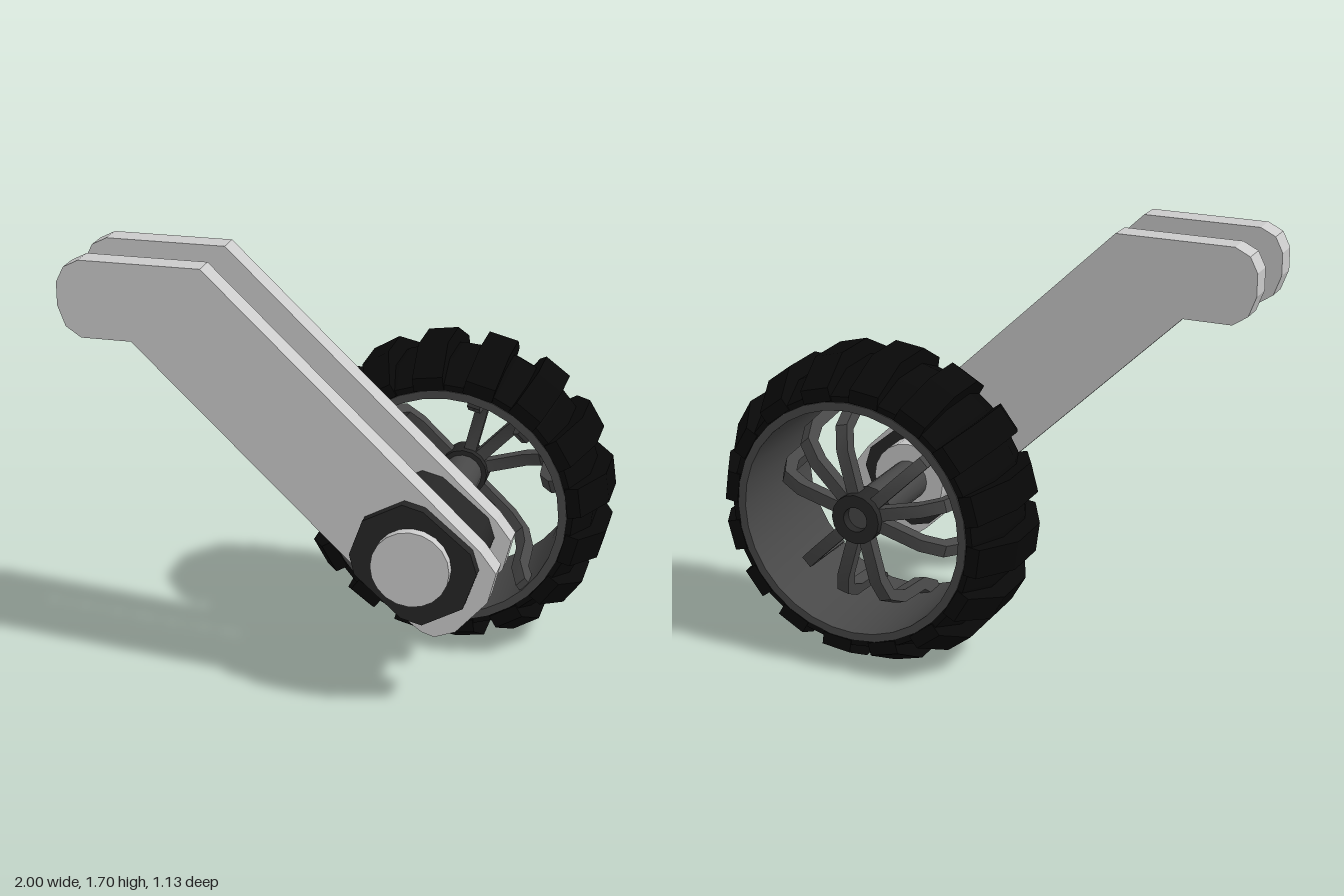
import * as THREE from 'three';
import { toCreasedNormals } from 'three/addons/utils/BufferGeometryUtils.js';

const HUB = { x: 0.37, y: 0.63 };

const material = (color, flatShading) => new THREE.MeshStandardMaterial({ color, flatShading });
const grey = material(0xcccccc, false);
const charcoal = material(0x262626, false);
const rimGrey = material(0x484848, false);
const rubber = material(0x080808, true);

function add(parent, name, geometry, mat) {
  const mesh = new THREE.Mesh(geometry, mat);
  mesh.name = name;
  parent.add(mesh);
  return mesh;
}

const outline = (points) => new THREE.Shape(points.map(([x, y]) => new THREE.Vector2(x, y)));

// Flat outline given thickness between two z values
function slab(points, z0, z1) {
  return new THREE.ExtrudeGeometry(outline(points), { depth: z1 - z0, bevelEnabled: false }).translate(0, 0, z0);
}

// Solid of revolution about the z axis from a closed [radius, z] profile
function ring(profile, segments) {
  const points = [...profile, profile[0]].map(([r, z]) => new THREE.Vector2(r, z));
  return toCreasedNormals(new THREE.LatheGeometry(points, segments).rotateX(Math.PI / 2), 0.6);
}

// Cylinder along z between two z values
function rod(radius, z0, z1, sides) {
  return new THREE.CylinderGeometry(radius, radius, z1 - z0, sides)
    .rotateX(Math.PI / 2).translate(0, 0, (z0 + z1) / 2);
}

function makeWheel() {
  const wheel = new THREE.Group();
  wheel.name = 'wheel';
  wheel.position.set(HUB.x, HUB.y, 0);

  // Tyre carcass and rim barrel
  add(wheel, 'tire', ring([
    [0.48, -0.56], [0.51, -0.56], [0.57, -0.4], [0.57, -0.2], [0.51, -0.05], [0.48, -0.05],
  ], 32), rubber);
  add(wheel, 'rim', ring([
    [0.487, -0.565], [0.487, -0.045], [0.455, -0.045], [0.455, -0.565],
  ], 32), rimGrey);

  // Tread blocks across the tyre
  const lug = new THREE.ExtrudeGeometry(outline([
    [-0.565, 0.487], [-0.04, 0.487], [-0.04, 0.54], [-0.2, 0.628], [-0.4, 0.628], [-0.565, 0.54],
  ]), { depth: 0.12, bevelEnabled: false }).rotateY(-Math.PI / 2).translate(0.06, 0, 0);
  const lugs = 16;
  for (let i = 0; i < lugs; i++) {
    const angle = THREE.MathUtils.degToRad(7.8) + (i / lugs) * Math.PI * 2;
    add(wheel, 'treadBlock', lug, rubber).rotation.z = angle - Math.PI / 2;
  }

  // Three groups of three spokes, bowed toward the back
  const spoke = toCreasedNormals(new THREE.ExtrudeGeometry(outline([
    [0.06, -0.49], [0.27, -0.49], [0.36, -0.45], [0.41, -0.35], [0.425, -0.18], [0.47, -0.12],
    [0.47, -0.06], [0.43, -0.07], [0.38, -0.16], [0.365, -0.33], [0.33, -0.41], [0.26, -0.44], [0.06, -0.44],
  ]), { depth: 0.05, bevelEnabled: false }).rotateX(Math.PI / 2).translate(0, 0.025, 0), 0.6);
  for (const middle of [46, 166, 286]) {
    for (const offset of [-30, 0, 30]) {
      add(wheel, 'spoke', spoke, rimGrey).rotation.z = THREE.MathUtils.degToRad(middle + offset);
    }
  }

  // Hub with a recessed centre
  add(wheel, 'hub', ring([
    [0.05, -0.52], [0.1, -0.52], [0.1, -0.41], [0.05, -0.41],
  ], 16), charcoal);
  add(wheel, 'hubShaft', rod(0.08, -0.48, 0, 16), rimGrey);
  return wheel;
}

export function createModel() {
  const model = new THREE.Group();
  model.name = 'wheelArm';
  model.add(makeWheel());

  // Pair of bent arm plates
  const armOutline = [
    [-1, 1.52], [-0.97, 1.44], [-0.91, 1.4], [-0.715, 1.4], [0.36, 0.37], [0.4, 0.34], [0.45, 0.325],
    [0.53, 0.355], [0.65, 0.49], [0.68, 0.61], [0.62, 0.69], [-0.44, 1.7], [-0.91, 1.7], [-0.97, 1.67], [-1, 1.61],
  ];
  add(model, 'frontArmPlate', slab(armOutline, 0.385, 0.48), grey);
  add(model, 'backArmPlate', slab(armOutline, 0.08, 0.175), grey);

  // Pivot block through both plates
  add(model, 'pivotBlock', toCreasedNormals(slab([
    [0.13, 0.65], [0.15, 0.57], [0.33, 0.41], [0.41, 0.39], [0.565, 0.475],
    [0.615, 0.62], [0.59, 0.7], [0.41, 0.85], [0.33, 0.87], [0.18, 0.79],
  ], 0.04, 0.525), 0.9), charcoal);

  // Axle joining the block to the wheel
  add(model, 'axle', rod(0.15, -0.06, 0.565, 20), grey).position.set(HUB.x, HUB.y, 0);

  // Damper between the plates, aimed up along the arm
  const damper = new THREE.Group();
  damper.name = 'damper';
  damper.position.set(HUB.x, HUB.y, 0.282);
  damper.rotation.z = THREE.MathUtils.degToRad(46);
  add(damper, 'damperRod', new THREE.CylinderGeometry(0.062, 0.062, 1, 16).translate(0, 0.6, 0), rimGrey);
  const capProfile = [[0, 0.965], [0.07, 0.965], [0.093, 1], [0.093, 1.32], [0.07, 1.36], [0, 1.36]];
  add(damper, 'damperCap', new THREE.LatheGeometry(
    capProfile.map(([r, y]) => new THREE.Vector2(r, y)), 12), rubber);
  model.add(damper);

  return model;
}
